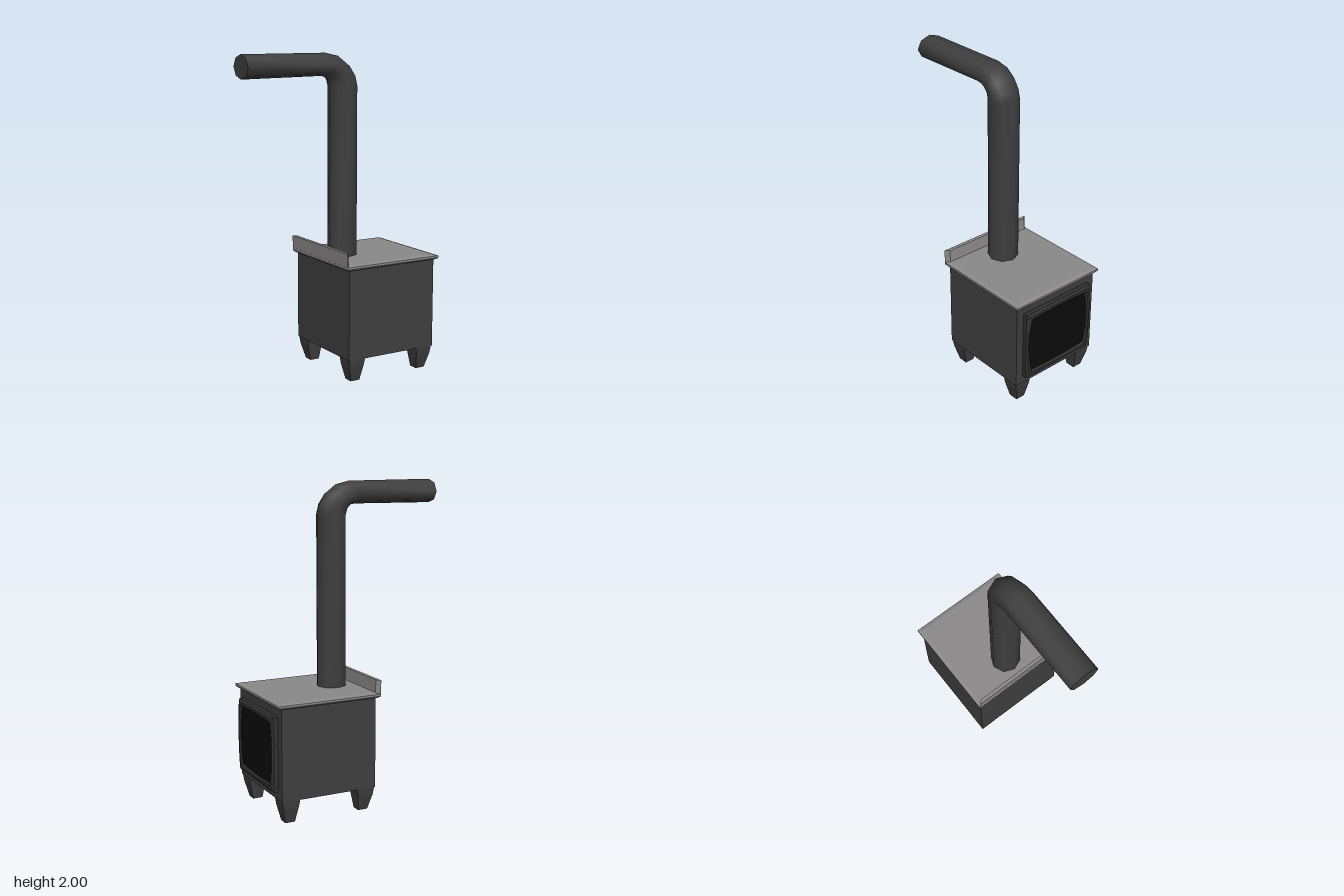
import * as THREE from 'three';

const mat = (name, color) => new THREE.MeshStandardMaterial({ name, color });

// Skin over cross-sections; each ring runs counter-clockwise about the direction of progress.
function loft(rings, { smooth = false, start = true, end = true } = {}) {
  const n = rings[0].length;
  const pos = [], idx = [];
  rings.forEach((r) => r.forEach((p) => pos.push(...p)));
  for (let k = 0; k < rings.length - 1; k++) {
    for (let i = 0; i < n; i++) {
      const a = k * n + i, b = k * n + ((i + 1) % n);
      idx.push(a, b, b + n, a, b + n, a + n);
    }
  }
  const cap = (ring, flip) => {
    const o = pos.length / 3;
    ring.forEach((p) => pos.push(...p));
    for (let i = 1; i < n - 1; i++) idx.push(o, o + (flip ? i + 1 : i), o + (flip ? i : i + 1));
  };
  if (start) cap(rings[0], true);
  if (end) cap(rings[rings.length - 1], false);
  let g = new THREE.BufferGeometry();
  g.setAttribute('position', new THREE.Float32BufferAttribute(pos, 3));
  g.setIndex(idx);
  if (!smooth) g = g.toNonIndexed();
  g.computeVertexNormals();
  return g;
}

// Horizontal rectangle at height y
const rect = (y, x0, x1, z0, z1) => [[x1, y, z1], [x1, y, z0], [x0, y, z0], [x0, y, z1]];

// Upright door outline at depth x, with sides bowed outward
function doorRing(x, hz, hy, bowZ, bowY) {
  const pts = [], cy = 0.425, steps = 4;
  const bow = (t) => 1 - t * t;
  for (let s = 0; s < 4; s++) {
    for (let i = 0; i < steps; i++) {
      const t = -1 + (2 * i) / steps;
      const sign = s < 2 ? 1 : -1;
      if (s % 2 === 0) pts.push([x, cy + sign * t * hy, -sign * (hz + bowZ * bow(t))]);
      else pts.push([x, cy + sign * (hy + bowY * bow(t)), sign * t * hz]);
    }
  }
  return pts;
}

export function createModel() {
  const group = new THREE.Group();
  const iron = mat('cast iron', 0x3e3e3e);
  const frameMat = mat('dark door iron', 0x303030);
  const steel = mat('grey top plate', 0x8a8888);
  const glassMat = mat('black glass', 0x0c0c0c);

  const add = (name, geometry, material) => {
    const m = new THREE.Mesh(geometry, material);
    m.name = name;
    group.add(m);
    return m;
  };

  // Firebox
  add('firebox', new THREE.BoxGeometry(0.625, 0.575, 0.63), iron).position.set(0.2525, 0.4325, 0);

  // Bevelled top plate
  add('topPlate', loft([
    rect(0.712, -0.075, 0.58, -0.325, 0.325),
    rect(0.722, -0.085, 0.59, -0.335, 0.335),
    rect(0.735, -0.085, 0.59, -0.335, 0.335),
    rect(0.742, -0.06, 0.565, -0.31, 0.31),
  ]), steel);

  // Upturned lip with mitred ends
  const lip = (y, x0, x1) => [[x1, y, 0.31], [x1, y, -0.31], [x0, y, -0.335], [x0, y, 0.335]];
  add('backLip', loft([lip(0.73, -0.084, -0.06), lip(0.82, -0.088, -0.065)]), steel);

  // Four tapered legs, mirrored about the firebox centre
  for (const sx of [-1, 1]) {
    for (const sz of [-1, 1]) {
      const ring = (y, xi, xo, zi, zo) => {
        const xs = [0.2525 + sx * xi, 0.2525 + sx * xo].sort((a, b) => a - b);
        const zs = [sz * zi, sz * zo].sort((a, b) => a - b);
        return rect(y, ...xs, ...zs);
      };
      add('leg', loft([
        ring(0, 0.215, 0.277, 0.216, 0.278),
        ring(0.1, 0.2, 0.302, 0.202, 0.304),
        ring(0.146, 0.193, 0.308, 0.196, 0.31),
      ]), iron);
    }
  }

  // Door frame, stepping back in to the glass
  add('doorFrame', loft([
    doorRing(0.56, 0.262, 0.23, 0.003, 0),
    doorRing(0.594, 0.262, 0.23, 0.006, 0),
    doorRing(0.605, 0.245, 0.215, 0.015, 0.003),
    doorRing(0.605, 0.228, 0.195, 0.022, 0.008),
    doorRing(0.594, 0.215, 0.181, 0.025, 0.009),
  ], { end: false }), frameMat);
  add('doorGlass', loft([
    doorRing(0.59, 0.216, 0.182, 0.025, 0.009),
    doorRing(0.596, 0.216, 0.182, 0.025, 0.009),
  ]), glassMat);

  // Flue: each row is outer x, outer y, inner x, inner y
  const path = [
    [0.176, 0.735, -0.012, 0.735],
    [0.176, 1.8, -0.012, 1.8],
    [0.16, 1.865, -0.02, 1.83],
    [0.117, 1.93, -0.038, 1.849],
    [0.05, 1.98, -0.06, 1.859],
    [-0.04, 2.0, -0.09, 1.861],
    [-0.61, 2.0, -0.61, 1.854],
  ];
  const rings = path.map(([ox, oy, ix, iy]) => {
    const pts = [];
    for (let i = 0; i < 8; i++) {
      const a = (i * Math.PI) / 4, c = Math.cos(a);
      pts.push([(ox + ix) / 2 + (c * (ox - ix)) / 2, (oy + iy) / 2 + (c * (oy - iy)) / 2, -0.095 * Math.sin(a)]);
    }
    return pts;
  });
  add('fluePipe', loft(rings, { smooth: true }), iron);

  return group;
}
